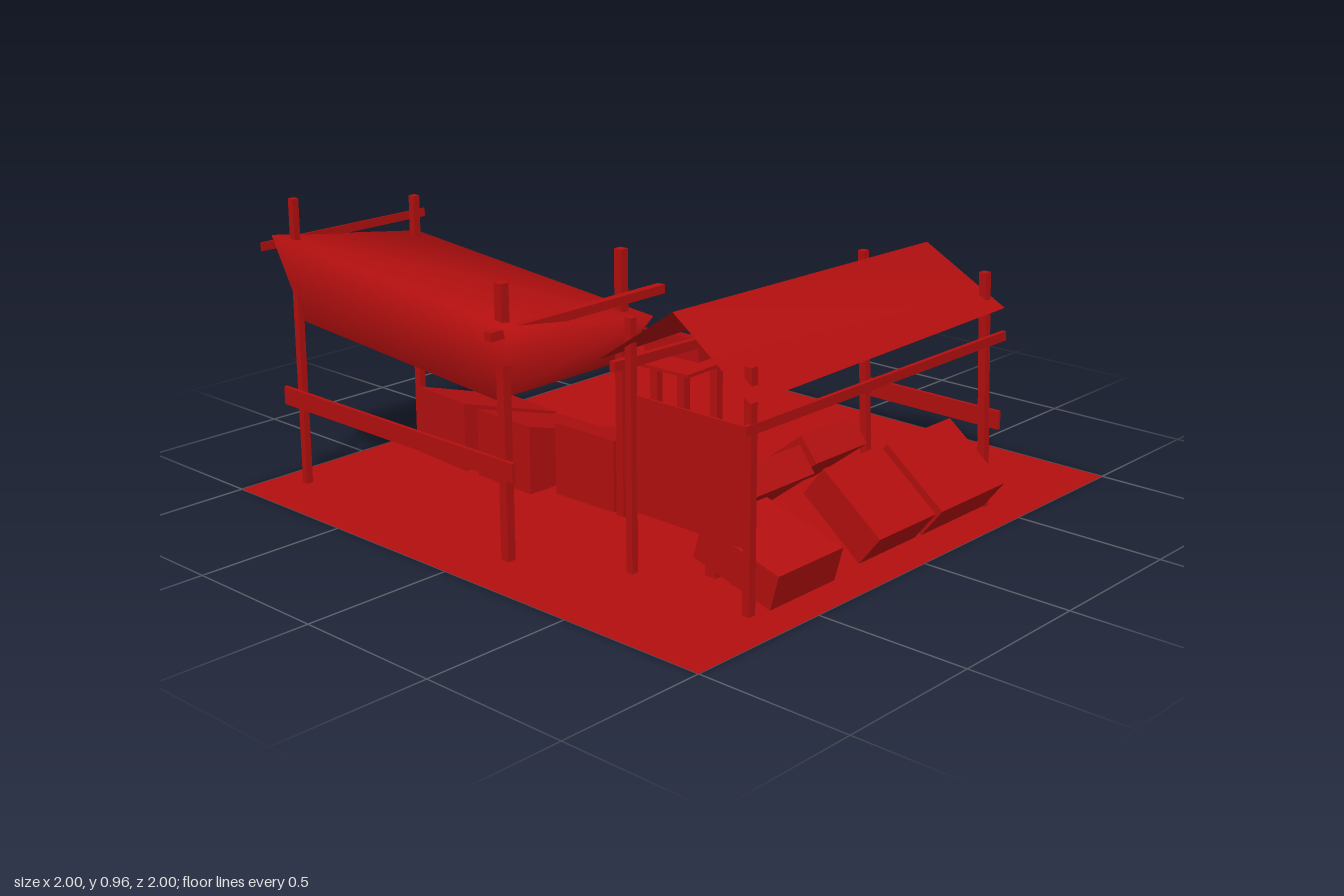
import * as THREE from 'three';

export function createModel() {
  const model = new THREE.Group();
  const red = new THREE.MeshStandardMaterial({ color: 0xb30f0f, side: THREE.DoubleSide });
  red.name = 'red';

  function add(parent, name, geometry, x = 0, y = 0, z = 0) {
    const mesh = new THREE.Mesh(geometry, red);
    mesh.name = name;
    mesh.position.set(x, y, z);
    parent.add(mesh);
    return mesh;
  }
  function group(name) {
    const g = new THREE.Group();
    g.name = name;
    model.add(g);
    return g;
  }
  const box = (parent, name, w, h, d, x, y, z) => add(parent, name, new THREE.BoxGeometry(w, h, d), x, y, z);

  // Square bar between two points
  function bar(parent, name, a, b, w, h = w) {
    const from = new THREE.Vector3(...a), to = new THREE.Vector3(...b);
    const mesh = box(parent, name, w, h, from.distanceTo(to), 0, 0, 0);
    mesh.position.copy(from).add(to).multiplyScalar(0.5);
    mesh.lookAt(to);
    return mesh;
  }
  // Leaning upright post
  function post(parent, x0, x1, z, top, w) {
    const g = new THREE.BoxGeometry(w, top - 0.01, w);
    const p = g.attributes.position;
    for (let i = 0; i < p.count; i++) p.setX(i, p.getX(i) + (p.getY(i) > 0 ? x1 - x0 : 0));
    g.computeVertexNormals();
    add(parent, 'post', g, x0, (top + 0.01) / 2, z);
  }
  // Bin with a lid sloping down towards the back
  function slopedBin(parent, name, w, d, front, back, x, y, z, turn) {
    const s = new THREE.Shape();
    s.moveTo(-d / 2, 0).lineTo(d / 2, 0).lineTo(d / 2, back).lineTo(-d / 2, front).closePath();
    const g = new THREE.ExtrudeGeometry(s, { depth: w, bevelEnabled: false });
    g.translate(0, 0, -w / 2);
    g.rotateY(Math.PI / 2);
    add(parent, name, g, x, y, z).rotation.y = turn;
  }
  // Smooth cloth from corner points and faces
  function cloth(parent, name, points, faces) {
    const g = new THREE.BufferGeometry();
    g.setAttribute('position', new THREE.Float32BufferAttribute(points.flat(), 3));
    g.setIndex(faces.flatMap(([a, b, c, d]) => [a, b, c, a, c, d]));
    g.computeVertexNormals();
    return add(parent, name, g);
  }

  // Ground
  add(model, 'ground', new THREE.PlaneGeometry(2, 2).rotateX(-Math.PI / 2));

  // Wide stall: posts, rails and a canopy with tapered skirts
  const wide = group('wideStall');
  post(wide, -0.872, -0.868, 0.83, 0.96, 0.023);
  post(wide, -0.872, -0.868, 0.34, 0.89, 0.025);
  post(wide, 0.09, 0.088, 0.83, 0.86, 0.03);
  post(wide, 0.09, 0.088, 0.34, 0.87, 0.03);
  box(wide, 'frontRail', 1.08, 0.06, 0.012, -0.4, 0.3, 0.847);
  box(wide, 'sideRail', 0.028, 0.028, 0.72, 0.125, 0.725, 0.56);
  box(wide, 'sideRail', 0.006, 0.028, 0.67, -0.925, 0.81, 0.585);
  cloth(wide, 'canopy', [
    [-0.93, 0.84, 0.875], [0.165, 0.745, 0.875], [0.165, 0.66, 0.28], [-0.93, 0.75, 0.28],
    [-0.86, 0.56, 0.82], [0.045, 0.495, 0.82], [0.045, 0.495, 0.31], [-0.86, 0.56, 0.31],
  ], [[0, 1, 2, 3], [4, 5, 1, 0], [5, 6, 2, 1], [6, 7, 3, 2], [7, 4, 0, 3]]);

  // Bins under the wide stall
  const bins = group('displayBins');
  slopedBin(bins, 'bin', 0.255, 0.39, 0.235, 0.12, -0.68, 0.01, 0.205, -0.085);
  slopedBin(bins, 'bin', 0.255, 0.38, 0.23, 0.12, -0.376, 0.01, 0.22, -0.03);
  slopedBin(bins, 'bin', 0.255, 0.39, 0.24, 0.12, -0.075, 0.01, 0.155, 0.02);

  // Gabled stall: posts, rails, front panel and roof
  const gabled = group('gabledStall');
  post(gabled, 0.425, 0.425, 0.65, 0.785, 0.024);
  post(gabled, 0.872, 0.872, 0.65, 0.735, 0.026);
  post(gabled, 0.408, 0.373, -0.49, 0.76, 0.026);
  post(gabled, 0.872, 0.842, -0.49, 0.77, 0.026);
  bar(gabled, 'sideRail', [0.88, 0.56, 0.685], [0.88, 0.56, -0.555], 0.014, 0.03);
  bar(gabled, 'sideRail', [0.4, 0.645, 0.7], [0.35, 0.595, -0.5], 0.02, 0.03);
  box(gabled, 'backRail', 0.545, 0.06, 0.012, 0.637, 0.3, -0.505);
  box(gabled, 'frontPanel', 0.44, 0.355, 0.008, 0.66, 0.377, 0.64);
  cloth(gabled, 'gableRoof', [
    [0.36, 0.66, 0.715], [0.645, 0.855, 0.715], [0.925, 0.655, 0.715],
    [0.295, 0.655, -0.52], [0.6, 0.82, -0.52], [0.9, 0.66, -0.52],
  ], [[0, 1, 4, 3], [1, 2, 5, 4]]);

  // Tilted crates: width, height, depth, x, y, z, tilt
  const crates = group('tiltedCrates');
  for (const [w, h, d, x, y, z, tilt] of [
    [0.3, 0.115, 0.29, 0.757, 0.099, 0.43, -0.27],
    [0.27, 0.12, 0.275, 0.832, 0.16, 0.052, -0.66],
    [0.27, 0.12, 0.33, 0.828, 0.155, -0.29, -0.66],
    [0.27, 0.1, 0.26, 0.385, 0.13, -0.21, 0.66],
    [0.27, 0.1, 0.28, 0.435, 0.13, 0.13, 0.66],
  ]) box(crates, 'crate', w, h, d, x, y, z, tilt).rotation.z = tilt;

  // Short supports holding up the crates
  for (const z of [-0.28, -0.12, 0.36, 0.5]) {
    box(crates, 'support', 0.04, 0.08, 0.03, 0.61, 0.045, z);
    box(crates, 'support', 0.035, 0.07, 0.03, 0.706, 0.04, z);
  }

  // Small table with a box on it
  const table = group('table');
  table.position.set(-0.415, 0, -0.42);
  table.rotation.y = 0.04;
  box(table, 'tableTop', 0.4, 0.012, 0.28, 0, 0.252, 0);
  for (const x of [-0.14, 0.14]) for (const z of [-0.09, 0.09]) {
    box(table, 'tableLeg', 0.032, 0.245, 0.032, x, 0.125, z);
  }
  slopedBin(table, 'tableBox', 0.25, 0.135, 0.082, 0.045, 0.012, 0.258, -0.06, 0.01);

  return model;
}
